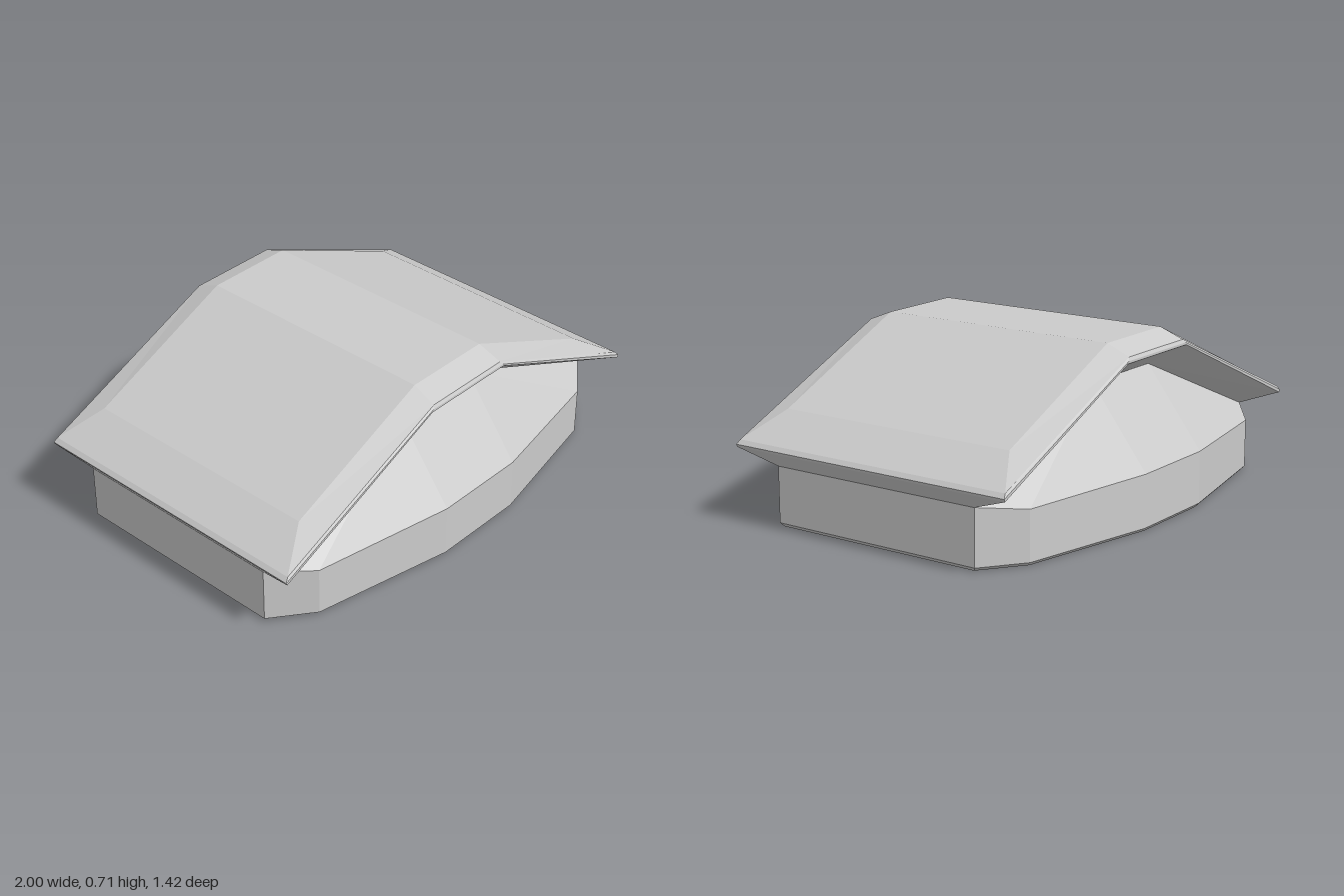
import * as THREE from 'three';

// Mirror one quadrant (front centre round to the side) into a closed loop,
// counter-clockwise seen from above.
function ring(quadrant) {
  const flip = (sx, sz) => quadrant.map(([x, y, z]) => new THREE.Vector3(x * sx, y, z * sz));
  return [...flip(1, 1), ...flip(1, -1).reverse(), ...flip(-1, -1), ...flip(-1, 1).reverse()];
}

// Split a quad along its shorter diagonal.
function quad(out, a, b, c, d) {
  if (a.distanceTo(c) < b.distanceTo(d)) out.push(a, b, c, a, c, d);
  else out.push(a, b, d, b, c, d);
}

// Join rings, listed from bottom to top, with bands of faces.
function loft(out, rings) {
  for (let r = 0; r < rings.length - 1; r++) {
    const lo = rings[r], hi = rings[r + 1], n = lo.length;
    for (let i = 0; i < n; i++) {
      const j = (i + 1) % n;
      quad(out, lo[i], lo[j], hi[j], hi[i]);
    }
  }
}

function makeMesh(points, name) {
  const geometry = new THREE.BufferGeometry().setFromPoints(points);
  geometry.computeVertexNormals();
  const material = new THREE.MeshStandardMaterial({ color: 0xcccccc, flatShading: true });
  const mesh = new THREE.Mesh(geometry, material);
  mesh.name = name;
  return mesh;
}

// Body: many-sided plan with a bevelled foot, straight walls and sloping gables
function createBody() {
  const plan = [[0.2, 0.71], [0.785, 0.59], [0.95, 0.465]];
  const wallTop = [0.228, 0.215, 0.24];
  const rings = [
    ring(plan.map(([x, z]) => [x - 0.012, 0, z - 0.012])),
    ring(plan.map(([x, z]) => [x, 0.015, z])),
    ring(plan.map(([x, z], i) => [x, wallTop[i], z])),
    ring([[0.2, 0.55, 0.465], [0.95, 0.24, 0.465], [0.95, 0.24, 0.465]]),
  ];
  const points = [];
  loft(points, rings);

  // Flat underside
  const foot = rings[0];
  for (let i = 1; i < foot.length - 1; i++) points.push(foot[0], foot[i + 1], foot[i]);
  return makeMesh(points, 'body');
}

// Roof: sloping soffit, thin rim, bevelled border and three broad top panels
function createRoof() {
  const section = (ridgeX, ridgeY, eaveX, eaveY, z) =>
    ring([[ridgeX, ridgeY, z], [eaveX, eaveY, z]]);
  const rings = [
    section(0.2, 0.55, 0.95, 0.24, 0.465),
    section(0.21, 0.645, 0.995, 0.3, 0.632),
    section(0.205, 0.655, 1, 0.311, 0.632),
    section(0.195, 0.668, 0.985, 0.328, 0.625),
    section(0.19, 0.708, 0.82, 0.43, 0.525),
  ];
  const points = [];
  loft(points, rings);

  const t = rings[rings.length - 1];
  quad(points, t[0], t[1], t[2], t[3]);
  quad(points, t[7], t[0], t[3], t[4]);
  quad(points, t[6], t[7], t[4], t[5]);
  return makeMesh(points, 'roof');
}

export function createModel() {
  const model = new THREE.Group();
  model.name = 'shelter';
  model.add(createBody(), createRoof());
  return model;
}
